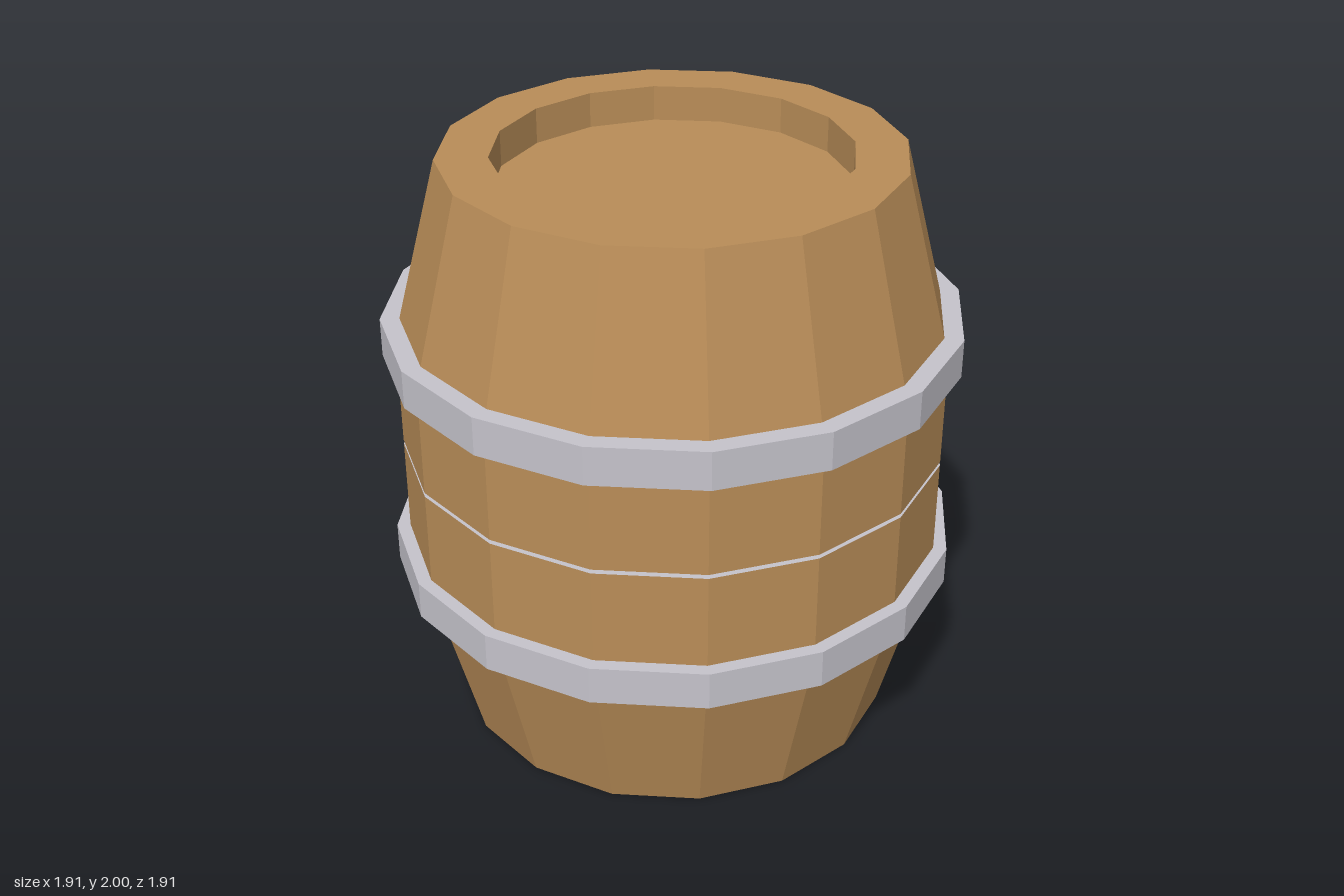
import * as THREE from 'three';

const SIDES = 16;
const wood = new THREE.MeshStandardMaterial({ color: 0xb98d58, flatShading: true });
const metal = new THREE.MeshStandardMaterial({ color: 0xc5c3cb, flatShading: true });

// Faceted solid of revolution; the profile runs from the bottom, outwards and up
function turned(name, profile, material) {
  const points = profile.map(([r, y]) => new THREE.Vector2(r, y));
  const geometry = new THREE.LatheGeometry(points, SIDES).toNonIndexed();
  geometry.computeVertexNormals();
  const mesh = new THREE.Mesh(geometry, material);
  mesh.name = name;
  return mesh;
}

// Reflects a profile about the barrel's middle, keeping its faces outward
const mirrored = (profile) => profile.map(([r, y]) => [r, 2 - y]).reverse();

export function createModel() {
  const barrel = new THREE.Group();
  barrel.name = 'barrel';

  // Staves with a recessed end, up to the narrow seam in the middle
  const staves = [[0, 0.12], [0.58, 0.12], [0.58, 0], [0.75, 0], [0.91, 0.61], [0.91, 0.993]];
  // Metal plate closing each half at the seam
  const plate = [[0.91, 0.993], [0, 0.993]];
  // Hoop around the widest part of each half
  const hoop = [[0.87, 0.54], [0.955, 0.54], [0.955, 0.67], [0.87, 0.67]];

  const parts = [['Staves', staves, wood], ['SeamPlate', plate, metal], ['Hoop', hoop, metal]];
  for (const [part, profile, material] of parts) {
    barrel.add(turned('lower' + part, profile, material));
    barrel.add(turned('upper' + part, mirrored(profile), material));
  }
  return barrel;
}
